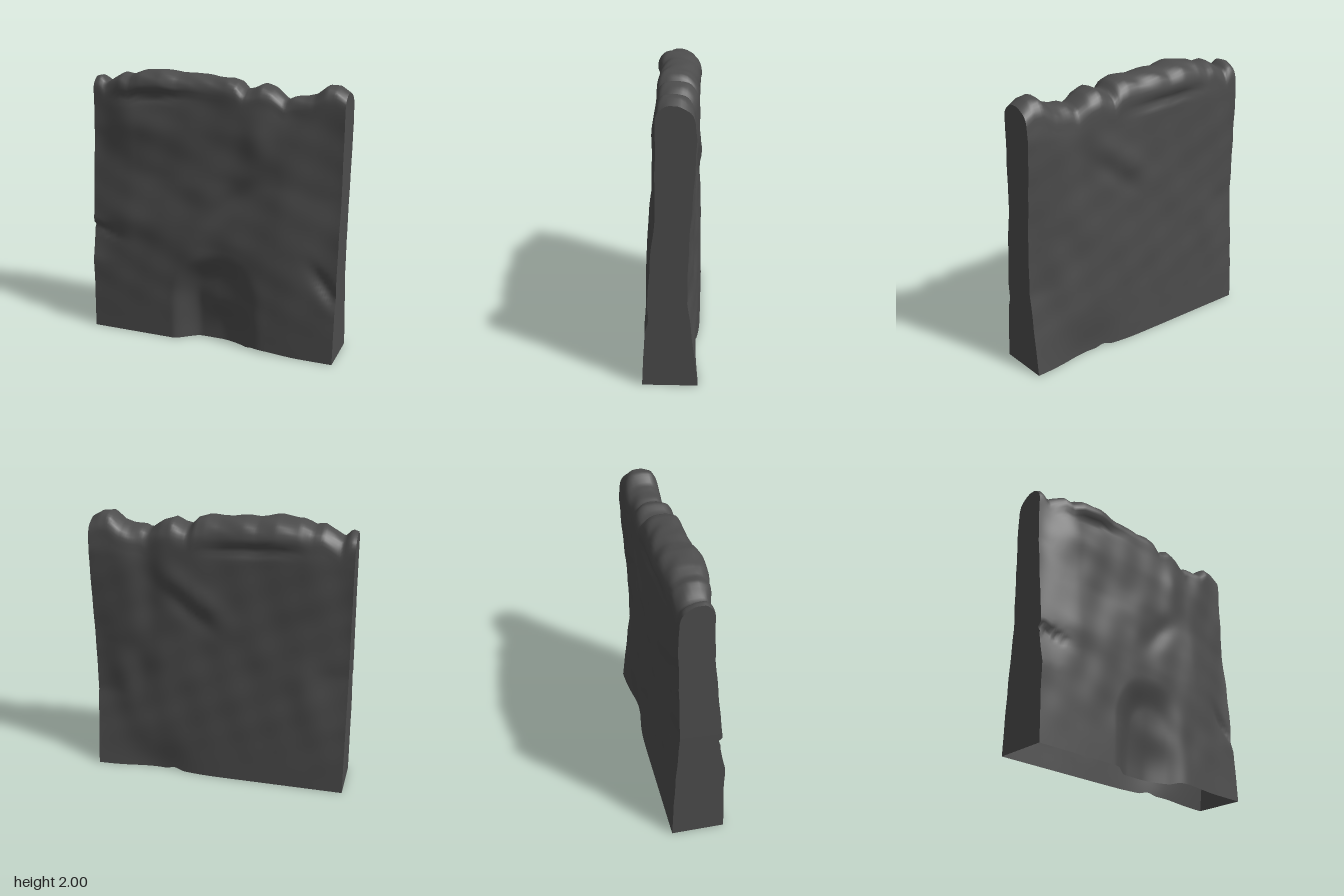
import * as THREE from 'three';

const HALF = 0.94, COLS = 110, ROWS = 56, CAP = 18, RIM_FRONT = 0.11, RIM_BACK = 0.15;

// ragged crest height along x
const CREST = [[-.94, 1.92], [-.9, 1.93], [-.85, 1.88], [-.79, 1.92], [-.72, 1.96], [-.65, 1.95], [-.56, 1.985],
  [-.4, 2], [-.27, 1.98], [-.18, 1.985], [0, 1.97], [.1, 1.97], [.17, 1.95], [.22, 1.9], [.27, 1.91], [.34, 1.945],
  [.42, 1.92], [.52, 1.85], [.57, 1.875], [.65, 1.88], [.72, 1.9], [.8, 1.965], [.87, 1.96], [.94, 1.92]];
// depth (z) against height at the two ends and in the middle
const FRONT_LEFT = [[0, .19], [.4, .17], [.6, .15], [.9, .13], [1.05, .115], [1.2, .1], [1.9, .09]];
const FRONT_MID = [[0, .19], [.8, .178], [1, .165], [1.25, .14], [1.6, .13], [1.8, .115], [2, .115]];
const FRONT_RIGHT = [[0, .19], [.55, .18], [.75, .14], [.85, .155], [1.2, .12], [1.5, .085], [1.9, .08]];
const BACK_LEFT = [[0, -.185], [.3, -.15], [.6, -.11], [1, -.12], [1.2, -.14], [1.4, -.15], [1.7, -.17], [1.9, -.14]];
const BACK_MID = [[0, -.185], [.6, -.18], [1.3, -.167], [1.75, -.17], [2, -.165]];
const BACK_RIGHT = [[0, -.185], [.5, -.165], [.9, -.13], [1.3, -.15], [1.7, -.15], [1.9, -.13]];

function sample(table, v) {
  let i = 1;
  while (i < table.length - 1 && v > table[i][0]) i++;
  const [a, p] = table[i - 1], [b, q] = table[i];
  return THREE.MathUtils.lerp(p, q, THREE.MathUtils.clamp((v - a) / (b - a), 0, 1));
}
const smooth = (v, a, b) => THREE.MathUtils.smoothstep(v, a, b);

// soft elongated bump, turned by an angle
function bump(x, y, cx, cy, rx, ry, angle, height) {
  const c = Math.cos(angle), s = Math.sin(angle), dx = x - cx, dy = y - cy;
  const u = (dx * c + dy * s) / rx, v = (dy * c - dx * s) / ry;
  return height * Math.exp(-u * u - v * v);
}
const ripple = (x, y, k) =>
  Math.sin(x * 9 + k + Math.sin(y * 6 + k)) * Math.sin(y * 8 - k + Math.sin(x * 5)) * .004 +
  Math.sin(x * 17 + y * 9 + k) * Math.sin(y * 15 - x * 6) * .003;

function blendEnds(x, y, left, mid, right) {
  const l = smooth(x, .5, HALF), r = smooth(-x, .6, HALF);
  return sample(mid, y) * (1 - l - r) + sample(left, y) * l + sample(right, y) * r;
}

function frontZ(x, y) {
  let z = blendEnds(x, y, FRONT_LEFT, FRONT_MID, FRONT_RIGHT) + ripple(x, y, 1) * smooth(y, 0, .5);
  // shallow arched hollow, fading to one side
  const d = Math.hypot(x - .07, Math.max(0, y - .35));
  z -= .115 * (1 - smooth(d, .16, .37)) * (1 - smooth(x, .05, .48)) * (1 - .5 * smooth(y, .05, .6));
  z += bump(x, y, .15, .3, .16, .12, 0, .012);
  z += bump(x, y, -.45, 1.82, .24, .03, .08, -.025);       // groove under the rim
  z += bump(x, y, -.42, 1.9, .26, .06, .05, .025);         // lip above it
  z += bump(x, y, .17, 1.12, .24, .08, .75, -.025);        // slanting hollow
  z += bump(x, y, -.08, 1.24, .22, .12, .6, .012);
  z += bump(x, y, .33, 1.6, .1, .14, 0, .02);
  z += bump(x, y, -.55, 1.6, .25, .13, 0, .02);
  z += bump(x, y, .87, .55, .16, .045, -.9, -.035);        // nick at the left edge
  z += bump(x, y, -.92, .8, .16, .018, -.25, -.03);        // crack at the right edge
  z += bump(x, y, -.55, .9, .35, .1, 0, .012);
  z += bump(x, y, .55, 1.85, .12, .2, 0, -.02);
  return Math.min(z, .193);
}

function backZ(x, y) {
  let z = blendEnds(x, y, BACK_LEFT, BACK_MID, BACK_RIGHT) + ripple(x, y, 4) * smooth(y, 0, .5);
  z += bump(x, y, .48, 0, .24, .25, 0, .045);              // scooped foot
  z += bump(x, y, .52, 1.3, .1, .6, 0, .022);              // upright furrow
  z += bump(x, y, .6, .75, .1, .25, 0, .02);
  z += bump(x, y, .17, 1.44, .26, .08, .65, -.022);        // slanting ridge
  z += bump(x, y, .22, 1.31, .26, .06, .65, .012);
  z += bump(x, y, -.25, 1.78, .28, .03, -.05, .028);       // groove under the rim
  z += bump(x, y, -.25, 1.86, .3, .05, -.05, -.015);
  z += bump(x, y, .55, 1.85, .12, .15, 0, .025);
  return Math.max(z, -.19);
}

// one section: up the front, over the rounded rim, down the back
function section(x) {
  const top = sample(CREST, x), frontTop = top - RIM_FRONT, backTop = top - RIM_BACK, points = [];
  const frontLift = .02 * smooth(x, .26, .34) * (1 - smooth(x, .36, .7));
  const backLift = .02 * smooth(x, .26, .34) * (1 - smooth(x, .34, .42));
  for (let k = 0; k < ROWS; k++) {
    const y = Math.max(frontTop * k / ROWS, frontLift * (k ? 1 : .9));
    points.push([x, y, frontZ(x, y)]);
  }
  // crest line wanders a little around its middle
  const f = frontZ(x, frontTop), b = backZ(x, backTop);
  const peak = (f + b) / 2 + .025 + .012 * Math.sin(x * 13);
  for (let k = 0; k <= CAP; k++) {
    const a = Math.PI * k / CAP, c = Math.cos(a), s = Math.sin(a);
    const rough = .01 * Math.sin(x * 27 + k * .9) * s * Math.abs(c);
    const rim = c > 0 ? RIM_FRONT : RIM_BACK;
    const reach = c > 0 ? f - peak : peak - b;
    const z = peak + reach * Math.sign(c) * Math.pow(Math.abs(c), .88);
    points.push([x, top - rim + rim * Math.pow(s, .85) + rough, z]);
  }
  for (let k = ROWS - 1; k >= 0; k--) {
    const y = Math.max(backTop * k / ROWS, backLift * (k ? 1 : .9));
    points.push([x, y, backZ(x, y)]);
  }
  return points;
}

function surface(points, index) {
  const g = new THREE.BufferGeometry();
  g.setAttribute('position', new THREE.Float32BufferAttribute(points.flat(), 3));
  g.setIndex(index);
  g.computeVertexNormals();
  return g;
}

export function createModel() {
  const model = new THREE.Group();
  model.name = 'rockWall';
  const stone = new THREE.MeshStandardMaterial({ color: 0x4c4c4c, side: THREE.DoubleSide });
  stone.name = 'dark grey stone';

  const add = (name, geometry) => {
    const mesh = new THREE.Mesh(geometry, stone);
    mesh.name = name;
    model.add(mesh);
  };

  // weathered faces and rim in one skin, open underneath
  const points = [], index = [];
  const count = ROWS * 2 + CAP + 1;
  for (let i = 0; i <= COLS; i++) points.push(...section(-HALF + 2 * HALF * i / COLS));
  for (let i = 0; i < COLS; i++) {
    for (let j = 0; j < count - 1; j++) {
      const a = i * count + j, b = a + count;
      index.push(a, b, b + 1, a, b + 1, a + 1);
    }
  }
  add('wallFaces', surface(points, index));

  // flat cut ends
  for (const side of [1, -1]) {
    const cap = [];
    for (let j = 0; j < (count - 1) / 2; j++) {
      const o = count - 1 - j;
      const quad = [j, o, o - 1, j, o - 1, j + 1];
      cap.push(...(side > 0 ? quad : quad.reverse()));
    }
    add(side > 0 ? 'leftEnd' : 'rightEnd', surface(section(side * HALF), cap));
  }
  return model;
}
